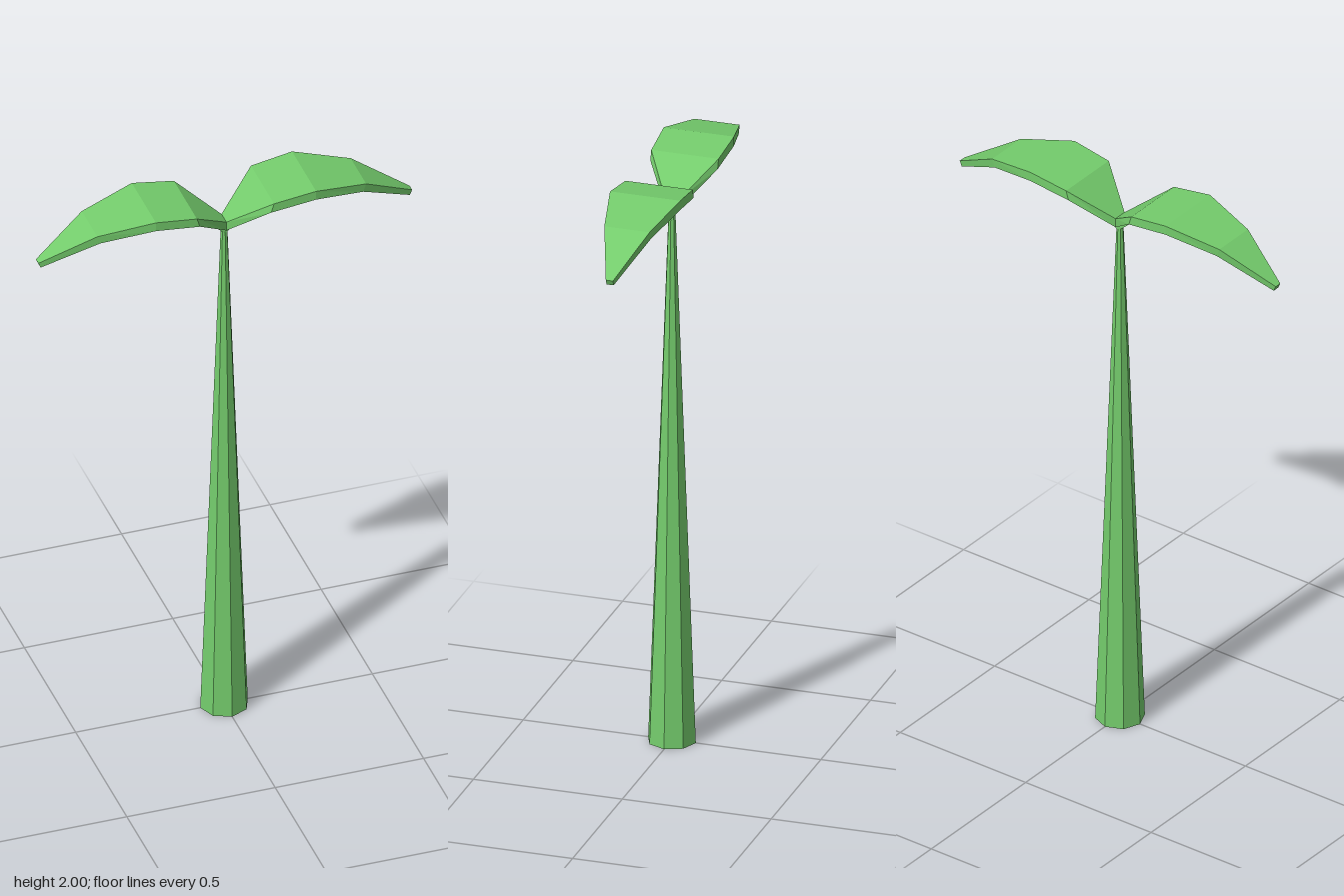
import * as THREE from 'three';

// Lofts four-cornered sections along +x; section = [topX, topY, bottomX, bottomY, halfWidth]
function loft(sections) {
  const rings = sections.map(([tx, ty, bx, by, w]) => [
    [tx, ty, -w], [tx, ty, w], [bx, by, w], [bx, by, -w],
  ]);
  const pos = [];
  const quad = (a, b, c, d) => pos.push(...a, ...b, ...c, ...a, ...c, ...d);
  for (let i = 0; i < rings.length - 1; i++) {
    for (let j = 0; j < 4; j++) {
      const k = (j + 1) % 4;
      quad(rings[i][j], rings[i][k], rings[i + 1][k], rings[i + 1][j]);
    }
  }
  quad(...rings[rings.length - 1]); // tip cap
  const geo = new THREE.BufferGeometry();
  geo.setAttribute('position', new THREE.Float32BufferAttribute(pos, 3));
  geo.computeVertexNormals();
  return geo;
}

export function createModel() {
  const model = new THREE.Group();
  model.name = 'sprout';
  const green = new THREE.MeshStandardMaterial({ color: 0x74cc6c, flatShading: true });
  const add = (parent, geo, name) => {
    const mesh = new THREE.Mesh(geo, green);
    mesh.name = name;
    parent.add(mesh);
    return mesh;
  };

  // Tapered eight-sided stem
  const stem = add(model, new THREE.CylinderGeometry(0.011, 0.08, 1.85, 8), 'stem');
  stem.position.y = 0.925;

  // Arched leaf blade and the thin rib under it
  const blade = loft([
    [0, 1.88, 0, 1.848, 0.024],
    [0.13, 1.98, 0.12, 1.948, 0.113],
    [0.27, 2.0, 0.27, 1.968, 0.118],
    [0.453, 1.96, 0.443, 1.932, 0.076],
    [0.63, 1.855, 0.622, 1.837, 0.012],
  ]);
  const rib = loft([
    [0, 1.86, 0, 1.828, 0.011],
    [0.12, 1.955, 0.112, 1.93, 0.011],
    [0.27, 1.975, 0.27, 1.95, 0.01],
    [0.445, 1.94, 0.437, 1.921, 0.005],
  ]);
  for (const side of ['left', 'right']) {
    const leaf = new THREE.Group();
    leaf.name = side + 'Leaf';
    add(leaf, blade, side + 'Blade');
    add(leaf, rib, side + 'Rib');
    if (side === 'right') leaf.rotation.y = Math.PI;
    model.add(leaf);
  }
  return model;
}
